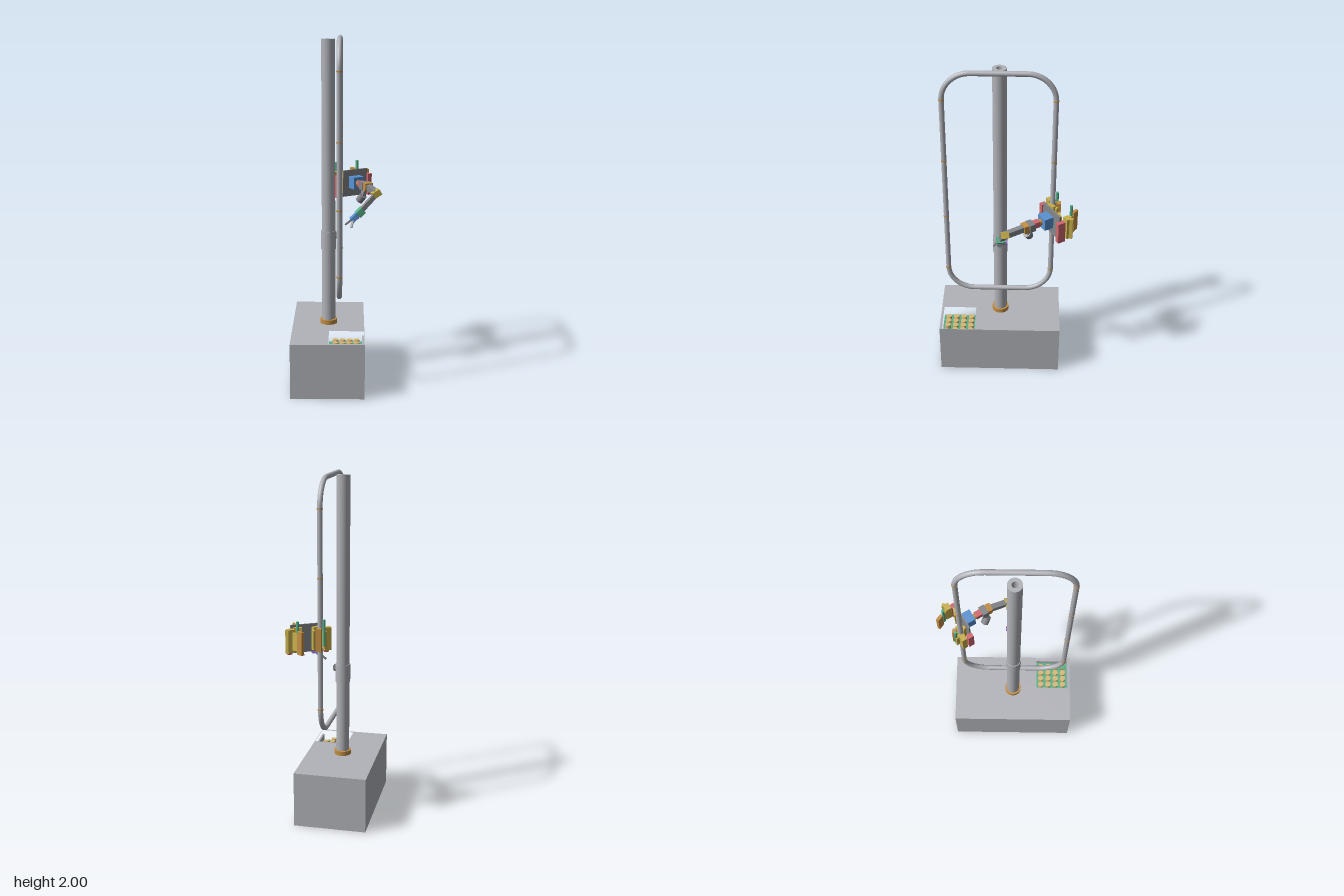
import * as THREE from 'three';

const mat = (name, color, side = THREE.FrontSide) => {
  const m = new THREE.MeshStandardMaterial({ color, side });
  m.name = name;
  return m;
};
const M = {
  grey: mat('light grey', 0xb2b3b9),
  dark: mat('dark grey', 0x84868a),
  orange: mat('orange', 0xc48f45),
  yellow: mat('yellow', 0xc8b04c),
  red: mat('red', 0xd0686e),
  blue: mat('blue', 0x5a92d2),
  green: mat('green', 0x55b088),
  tan: mat('tan', 0xd6b878),
  purple: mat('purple', 0x9a68cc),
  ring: mat('rust', 0xc8552c),
};

function add(parent, name, geo, material, pos = [0, 0, 0], rot = [0, 0, 0]) {
  const m = new THREE.Mesh(geo, material);
  m.name = name;
  m.position.set(...pos);
  m.rotation.set(...rot);
  parent.add(m);
  return m;
}
const box = (p, name, material, size, pos, yaw = 0) =>
  add(p, name, new THREE.BoxGeometry(...size), material, pos, [0, yaw, 0]);
const cyl = (p, name, material, r, h, pos, rot, sides = 32) =>
  add(p, name, new THREE.CylinderGeometry(r, r, h, sides), material, pos, rot);

// Bar with its long axis from a to b; round when h is omitted
function bar(parent, name, material, a, b, w, h) {
  const A = new THREE.Vector3(...a), B = new THREE.Vector3(...b), len = A.distanceTo(B);
  const geo = h ? new THREE.BoxGeometry(w, h, len)
    : new THREE.CylinderGeometry(w / 2, w / 2, len, 20).rotateX(Math.PI / 2);
  const m = new THREE.Mesh(geo, material);
  m.name = name;
  m.position.copy(A).add(B).multiplyScalar(0.5);
  m.lookAt(B);
  parent.add(m);
}

function group(parent, name) {
  const g = new THREE.Group();
  g.name = name;
  parent.add(g);
  return g;
}

// Box shell whose top has a rectangular opening
function makeBase(root) {
  const g = group(root, 'base');
  const x0 = -0.26, x1 = 0.16, z0 = -0.33, z1 = 0.405, h = 0.325;
  const w = x1 - x0, d = z1 - z0, cx = (x0 + x1) / 2, cz = (z0 + z1) / 2;
  const face = (name, sx, sy, pos, rot) => add(g, name, new THREE.PlaneGeometry(sx, sy), M.grey, pos, rot);
  face('baseFront', w, h, [cx, h / 2, z1]);
  face('baseBack', w, h, [cx, h / 2, z0], [0, Math.PI, 0]);
  face('baseLeft', d, h, [x1, h / 2, cz], [0, Math.PI / 2, 0]);
  face('baseRight', d, h, [x0, h / 2, cz], [0, -Math.PI / 2, 0]);
  face('baseBottom', w, d, [cx, 0, cz], [Math.PI / 2, 0, 0]);
  const rect = (C, a, b, c, e) => new C([[a, -b], [c, -b], [c, -e], [a, -e]].map(p => new THREE.Vector2(...p)));
  const top = rect(THREE.Shape, x0, z0, x1, z1);
  top.holes.push(rect(THREE.Path, -0.045, 0.19, 0.157, 0.39));
  add(g, 'baseTop', new THREE.ShapeGeometry(top), M.grey, [0, h, 0], [-Math.PI / 2, 0, 0]);

  // Sunken tray with a grid of round samples and one empty place
  const t = group(root, 'tray');
  box(t, 'trayFloor', M.green, [0.19, 0.012, 0.2], [0.05, 0.256, 0.29]);
  box(t, 'trayEdge', M.grey, [0.012, 0.05, 0.2], [0.151, 0.275, 0.29]);
  for (let i = 0; i < 4; i++) for (let j = 0; j < 4; j++) {
    const x = -0.007 + i * 0.0403, z = 0.218 + j * 0.0475;
    if (i === 3 && j === 3) add(t, 'emptyPlace', new THREE.TorusGeometry(0.0155, 0.0016, 8, 32), M.ring, [x, 0.264, z], [Math.PI / 2, 0, 0]);
    else cyl(t, 'sample', M.tan, 0.0175, 0.024, [x, 0.274, z]);
  }
}

// Bored column with foot collar and sliding sleeve
function makeColumn(root) {
  const g = group(root, 'column');
  g.position.set(-0.05, 0, 0.037);
  const profile = [[0.039, 0.325], [0.039, 1.985], [0.039, 1.985], [0.017, 1.985], [0.017, 1.985], [0.017, 1.9], [0.017, 1.9], [0, 1.9]];
  add(g, 'mast', new THREE.LatheGeometry(profile.map(p => new THREE.Vector2(...p)), 40), M.grey);
  cyl(g, 'footCollar', M.orange, 0.05, 0.027, [0, 0.338, 0], [0, 0, 0], 40);
  cyl(g, 'sleeve', M.grey, 0.0435, 0.11, [0, 0.833, 0], [0, 0, 0], 40);
  cyl(g, 'pegBoss', M.dark, 0.017, 0.022, [0.044, 0.858, 0], [0, 0, Math.PI / 2]);
  cyl(g, 'peg', M.dark, 0.008, 0.03, [0.043, 0.858, 0], [0, 0, Math.PI / 2]);
  for (const s of [-1, 1]) box(g, 'pegFork', M.dark, [0.02, 0.022, 0.007], [0.047, 0.865, s * 0.012]);
}

// Rounded rectangular rail made from straight pipes and quarter bends
function makeRail(root) {
  const g = group(root, 'rail');
  g.position.set(0.015, 1.265, 0.04);
  g.rotation.y = -Math.PI / 2;
  const a = 0.305, b = 0.72, R = 0.155, r = 0.0148;
  for (const s of [-1, 1]) {
    cyl(g, 'uprightPipe', M.grey, r, 2 * (b - R), [s * a, 0, 0], [0, 0, 0], 24);
    cyl(g, 'crossPipe', M.grey, r, 2 * (a - R), [0, s * (b - R + R), 0], [0, 0, Math.PI / 2], 24);
    for (const y of [-0.565, -0.188, 0.188, 0.565])
      cyl(g, 'pipeJoint', M.orange, 0.0162, 0.007, [s * a, y, 0], [0, 0, 0], 24);
  }
  [[1, 1], [-1, 1], [-1, -1], [1, -1]].forEach(([sx, sy], i) =>
    add(g, 'bend', new THREE.TorusGeometry(R, r, 20, 10, Math.PI / 2), M.grey,
      [sx * (a - R), sy * (b - R), 0], [0, 0, i * Math.PI / 2]));
}

// Carriage plate with a closed clamp on the rail and an open clamp beside it
function makeCarriage(root) {
  const g = group(root, 'carriage'), yaw = 0.56;
  box(g, 'carriagePlate', M.dark, [0.17, 0.16, 0.008], [0.103, 1.113, -0.26], yaw);
  box(g, 'shoulderHousing', M.blue, [0.072, 0.072, 0.056], [0.114, 1.12, -0.226], yaw);

  const closed = group(g, 'closedClamp');
  box(closed, 'clampMotor', M.red, [0.028, 0.13, 0.034], [-0.004, 1.095, -0.212], yaw);
  box(closed, 'outerJaw', M.yellow, [0.04, 0.13, 0.03], [-0.022, 1.115, -0.25], yaw);
  box(closed, 'innerJaw', M.yellow, [0.022, 0.13, 0.042], [0.043, 1.115, -0.258], -0.6);
  box(closed, 'clampBack', M.orange, [0.032, 0.13, 0.024], [0.015, 1.115, -0.3]);
  for (const s of [-1, 1])
    box(closed, 'jawLink', M.yellow, [0.018, 0.1, 0.04], [0.015 + s * 0.024, 1.115, -0.277], s * -0.75);
  cyl(closed, 'hingePin', M.green, 0.0085, 0.15, [-0.013, 1.155, -0.291]);

  const open = group(g, 'openClamp');
  box(open, 'clampMotor', M.red, [0.026, 0.13, 0.046], [0.183, 1.095, -0.309], yaw);
  box(open, 'outerJaw', M.yellow, [0.04, 0.13, 0.034], [0.163, 1.115, -0.347], yaw);
  box(open, 'jawTip', M.yellow, [0.02, 0.13, 0.03], [0.172, 1.115, -0.362], -0.2);
  box(open, 'innerJaw', M.yellow, [0.05, 0.13, 0.02], [0.136, 1.115, -0.299], 0.25);
  box(open, 'jawLink', M.yellow, [0.045, 0.1, 0.012], [0.13, 1.115, -0.364], -0.6);
  box(open, 'clampBack', M.orange, [0.04, 0.13, 0.018], [0.096, 1.115, -0.388], -0.62);
  cyl(open, 'hingePin', M.green, 0.0085, 0.15, [0.117, 1.155, -0.367]);
}

// Jointed arm reaching forward and down to a gripper
function makeArm(root) {
  const g = group(root, 'arm');
  const elbow = [0.229, 1.1, 0], wrist = [0.138, 1.003, 0.024];
  bar(g, 'shoulderFlange', M.orange, [0.122, 1.12, -0.202], [0.133, 1.12, -0.186], 0.036);
  bar(g, 'shoulderMotor', M.red, [0.133, 1.12, -0.186], [0.156, 1.12, -0.15], 0.036, 0.036);
  bar(g, 'shoulderJoint', M.dark, [0.153, 1.118, -0.155], [0.172, 1.118, -0.125], 0.058, 0.046);
  bar(g, 'shoulderDrive', M.dark, [0.128, 1.027, -0.135], [0.153, 1.062, -0.12], 0.046);
  bar(g, 'shoulderStrut', M.dark, [0.148, 1.05, -0.125], [0.163, 1.105, -0.138], 0.024, 0.024);
  bar(g, 'upperArmCuff', M.orange, [0.172, 1.118, -0.125], [0.186, 1.116, -0.098], 0.05, 0.046);
  bar(g, 'upperArm', M.dark, [0.184, 1.116, -0.1], elbow, 0.033, 0.033);
  bar(g, 'elbowJoint', M.yellow, [0.208, 1.088, 0.005], [0.248, 1.113, -0.005], 0.038, 0.036);
  bar(g, 'forearm', M.dark, elbow, wrist, 0.028, 0.026);
  bar(g, 'wristJoint', M.green, [0.149, 1.01, 0.023], [0.118, 0.98, 0.029], 0.05, 0.038);
  bar(g, 'wristMotor', M.purple, [0.116, 0.965, -0.01], [0.116, 0.965, 0.03], 0.026);
  bar(g, 'hand', M.blue, [0.117, 0.978, 0.026], [0.083, 0.947, 0.028], 0.048, 0.03);
  bar(g, 'rearFinger', M.dark, [0.088, 0.95, 0.014], [0.046, 0.916, 0.014], 0.012, 0.01);
  bar(g, 'frontFinger', M.dark, [0.09, 0.95, 0.045], [0.082, 0.913, 0.07], 0.013, 0.01);
}

export function createModel() {
  const root = new THREE.Group();
  root.name = 'railRobot';
  makeBase(root);
  makeColumn(root);
  makeRail(root);
  makeCarriage(root);
  makeArm(root);
  return root;
}
